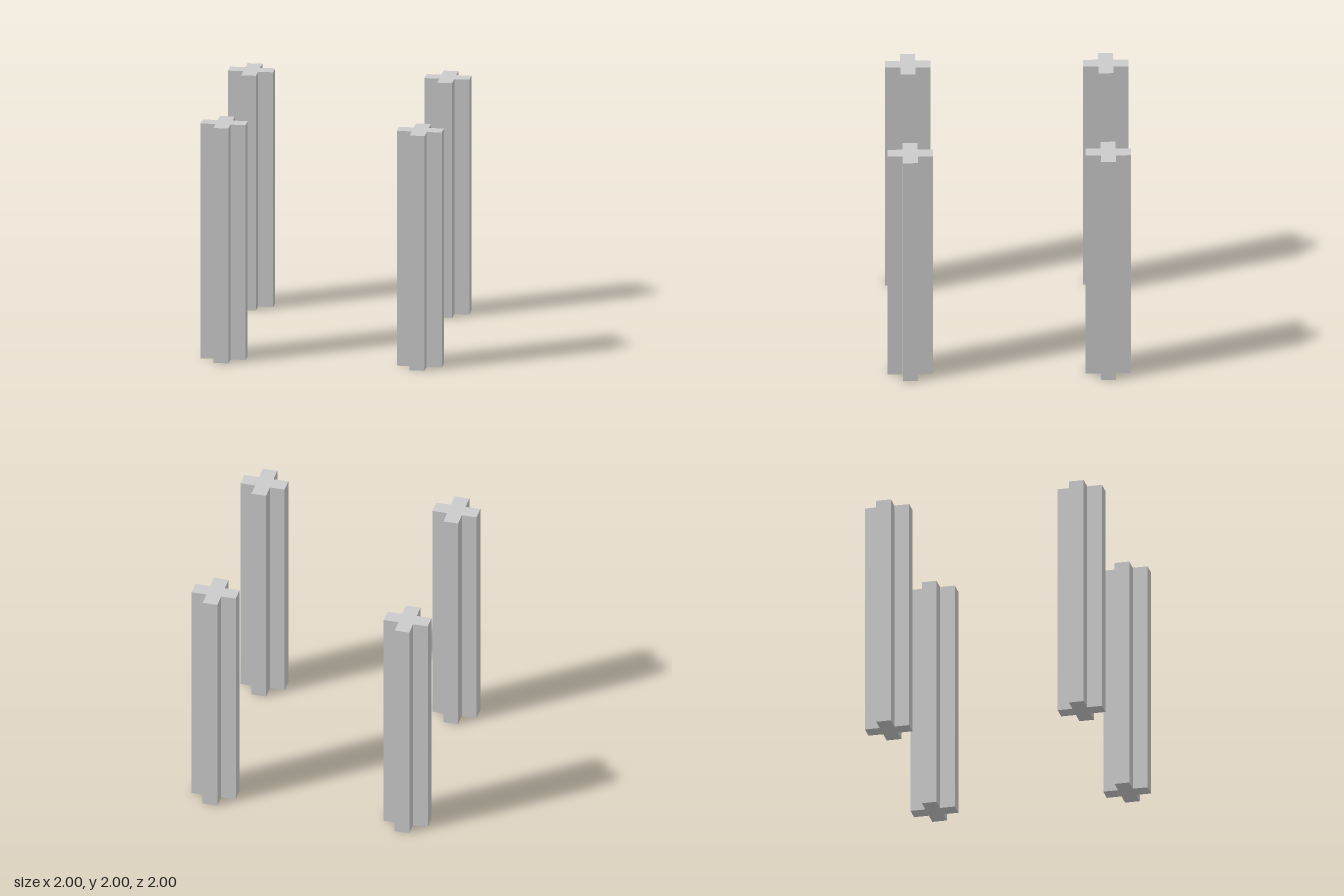
import * as THREE from 'three';

const HEIGHT = 2;
const CENTER = 0.8125; // distance of each column axis from the middle
const ARM = 0.1865;    // half length of the cross
const HALF = 0.062;    // half thickness of an arm

// Cross-shaped section, one arm per quarter turn
function crossShape() {
  const points = [];
  for (let i = 0; i < 4; i++) {
    const turn = i * Math.PI / 2;
    for (const [x, y] of [[ARM, -HALF], [ARM, HALF], [HALF, HALF]]) {
      points.push(new THREE.Vector2(x, y).rotateAround(new THREE.Vector2(), turn));
    }
  }
  return new THREE.Shape(points);
}

export function createModel() {
  const model = new THREE.Group();
  model.name = 'crossColumns';
  const material = new THREE.MeshStandardMaterial({ color: 0xcccccc, flatShading: true });

  // Section extruded upwards, standing on the ground
  const geometry = new THREE.ExtrudeGeometry(crossShape(), { depth: HEIGHT, bevelEnabled: false });
  geometry.rotateX(-Math.PI / 2);

  // One column at each corner
  for (const [side, sx] of [['Left', 1], ['Right', -1]]) {
    for (const [end, sz] of [['front', 1], ['back', -1]]) {
      const column = new THREE.Mesh(geometry, material);
      column.name = `${end}${side}Column`;
      column.position.set(sx * CENTER, 0, sz * CENTER);
      model.add(column);
    }
  }
  return model;
}
